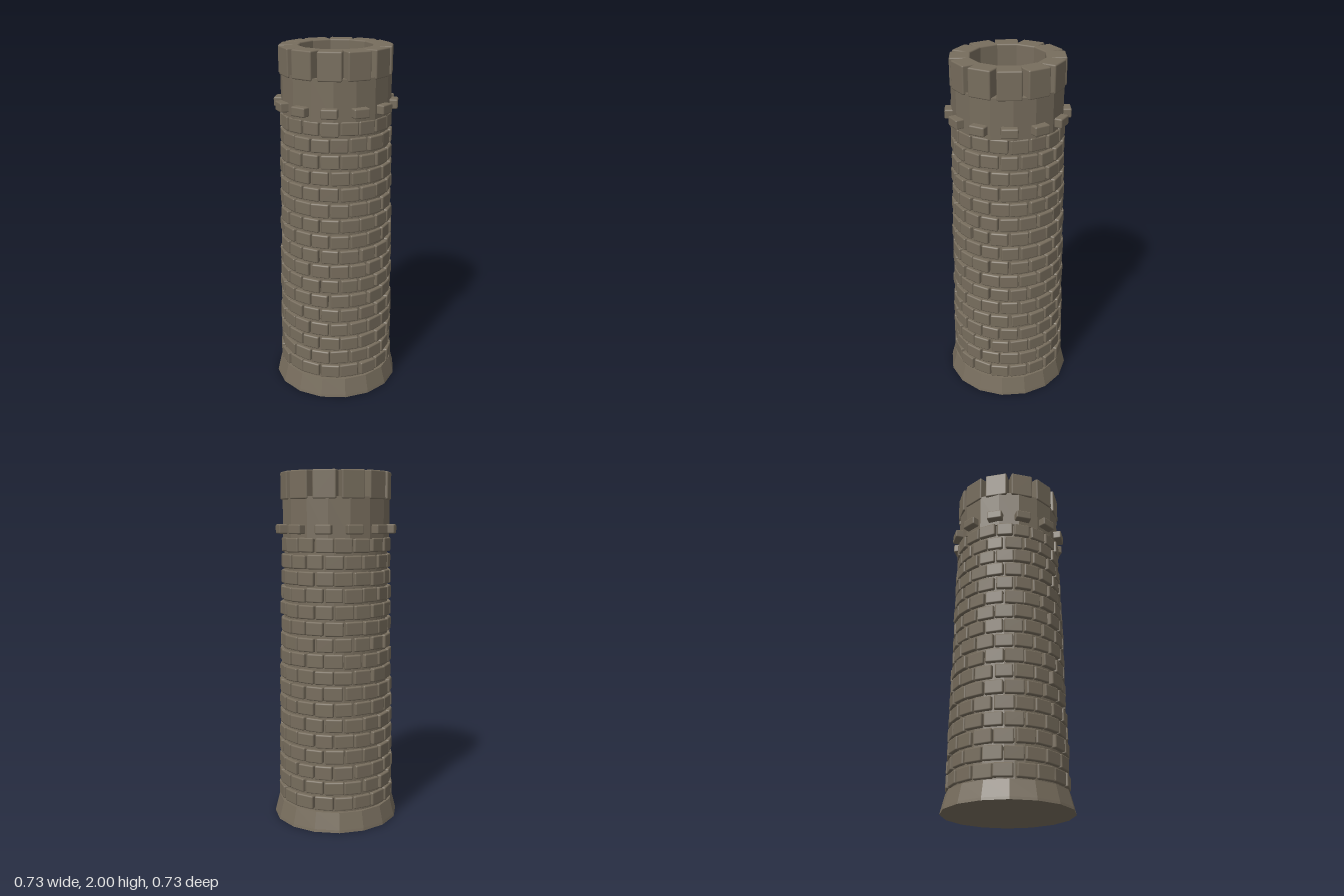
import * as THREE from 'three';
import { RoundedBoxGeometry } from 'three/addons/geometries/RoundedBoxGeometry.js';

const stone = new THREE.MeshStandardMaterial({ color: 0x776d5d });
stone.name = 'stone';
const dark = new THREE.MeshStandardMaterial({ color: 0x222222 });
dark.name = 'darkInterior';

// small seeded random, -1..1
let seed = 7;
function jitter(amount) {
  seed = (seed * 16807) % 2147483647;
  return ((seed / 2147483647) * 2 - 1) * amount;
}

// faceted ring or solid from a profile of [radius, y]
function turned(name, profile, sides, phase = 0) {
  const points = profile.map(([r, y]) => new THREE.Vector2(r, y));
  const geometry = new THREE.LatheGeometry(points, sides, phase).toNonIndexed();
  geometry.computeVertexNormals();
  const mesh = new THREE.Mesh(geometry, stone);
  mesh.name = name;
  return mesh;
}

// bevelled block whose outer face lies at the given radius
function block(name, width, height, depth, bevel, angle, outer, y) {
  const mesh = new THREE.Mesh(new RoundedBoxGeometry(width, height, depth, 1, bevel), stone);
  mesh.name = name;
  const r = outer - depth / 2;
  mesh.position.set(Math.sin(angle) * r, y, Math.cos(angle) * r);
  mesh.rotation.y = angle;
  return mesh;
}

export function createModel() {
  seed = 7;
  const tower = new THREE.Group();
  tower.name = 'stoneTower';

  // flared foot and the core behind the bricks
  tower.add(turned('base', [[0, 0], [0.365, 0], [0.362, 0.015], [0.338, 0.108], [0, 0.108]], 16));
  tower.add(turned('core', [[0.318, 0.1], [0.292, 1.64]], 36));

  // staggered, slightly uneven brick courses
  const rows = 17, perRow = 18, step = (Math.PI * 2) / perRow;
  const bricks = new THREE.Group();
  bricks.name = 'bricks';
  for (let row = 0; row < rows; row++) {
    const outer = 0.335 - 0.026 * (row / (rows - 1));
    const y = 0.157 + row * 0.0902;
    for (let i = 0; i < perRow; i++) {
      const angle = (i + (row % 2 ? 0 : 0.5)) * step + jitter(0.012);
      const width = outer * step - 0.012 + jitter(0.006);
      const brick = block('brick', width, 0.077 + jitter(0.003), 0.06, 0.008,
        angle, outer + jitter(0.004), y + jitter(0.002));
      brick.rotation.y += jitter(0.04);
      brick.rotation.z = jitter(0.02);
      bricks.add(brick);
    }
  }
  tower.add(bricks);

  // plain parapet wall, hollow inside
  tower.add(turned('parapetWall', [
    [0.28, 1.635], [0.306, 1.635], [0.306, 1.86], [0.19, 1.86], [0.19, 1.835], [0.18, 1.83], [0.18, 1.68],
  ], 16, Math.PI / 16));

  // dark floor inside the parapet
  const floor = new THREE.Mesh(new THREE.CircleGeometry(0.185, 16, Math.PI / 16), dark);
  floor.name = 'interiorFloor';
  floor.rotation.x = -Math.PI / 2;
  floor.position.y = 1.69;
  tower.add(floor);

  // corbels below the parapet and merlons on top
  const corbels = new THREE.Group(), merlons = new THREE.Group();
  corbels.name = 'corbels';
  merlons.name = 'merlons';
  for (let i = 0; i < 12; i++) {
    const angle = (i * Math.PI) / 6;
    corbels.add(block('corbel', 0.09, 0.052, 0.07, 0.008, angle, 0.343, 1.686));
    merlons.add(block('merlon', 0.13, 0.153, 0.11, 0.008, angle, 0.308, 1.9235));
  }
  tower.add(corbels, merlons);
  return tower;
}
